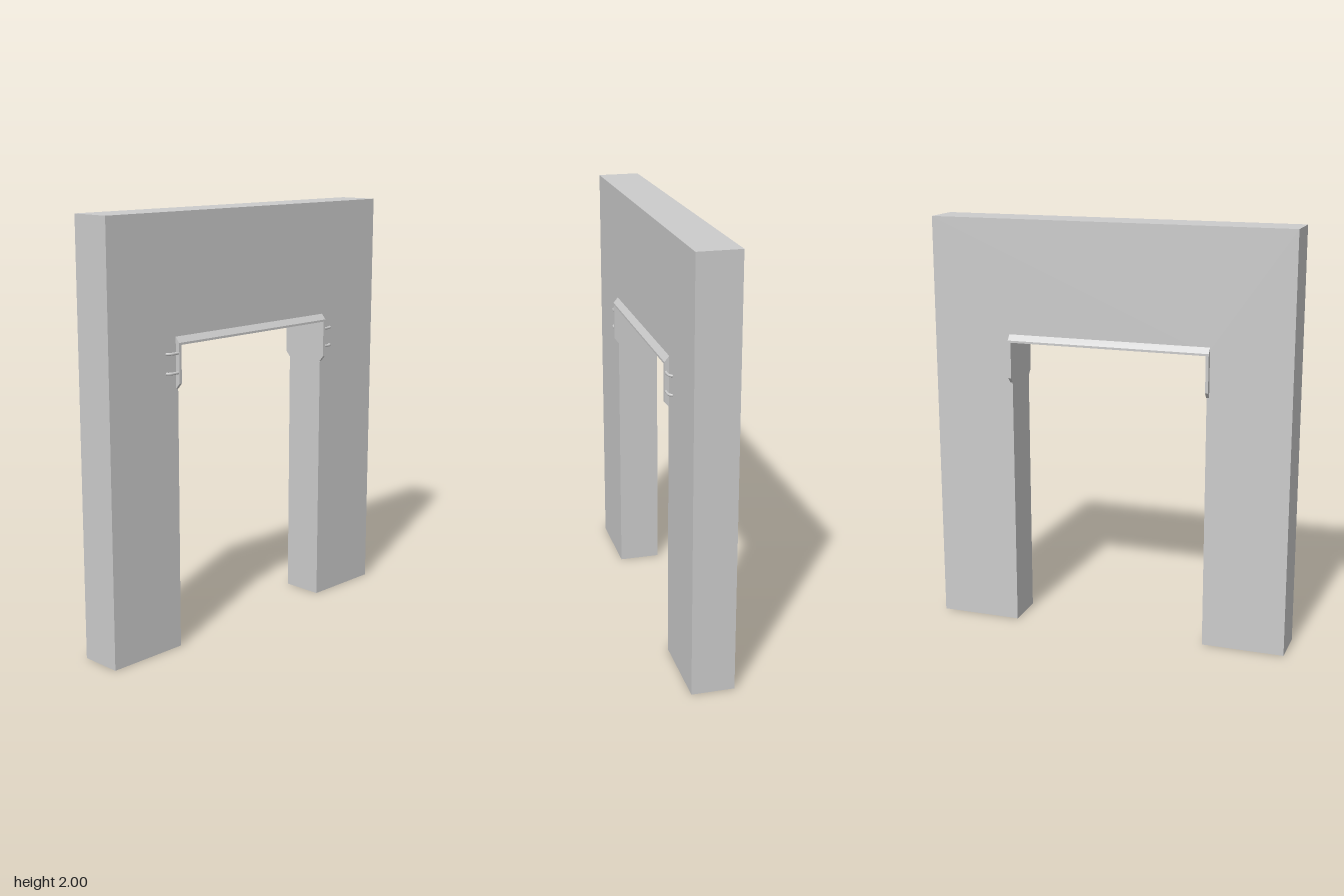
import * as THREE from 'three';

const material = new THREE.MeshStandardMaterial({ color: 0xcccccc, side: THREE.DoubleSide, flatShading: true });
const smooth = new THREE.MeshStandardMaterial({ color: 0xcccccc });

function part(name, geometry, mat = material) {
  const mesh = new THREE.Mesh(geometry, mat);
  mesh.name = name;
  return mesh;
}

function extrude(points, depth) {
  const shape = new THREE.Shape(points.map(([x, y]) => new THREE.Vector2(x, y)));
  return new THREE.ExtrudeGeometry(shape, { depth, bevelEnabled: false }).translate(0, 0, -depth / 2);
}

// Remove the faces lying on the ground, leaving the legs hollow underneath
function openBottom(geometry) {
  const p = geometry.getAttribute('position');
  const kept = [];
  for (let i = 0; i < p.count; i += 3) {
    if (Math.max(p.getY(i), p.getY(i + 1), p.getY(i + 2)) < 1e-4) continue;
    for (let j = i; j < i + 3; j++) kept.push(p.getX(j), p.getY(j), p.getZ(j));
  }
  const open = new THREE.BufferGeometry();
  open.setAttribute('position', new THREE.Float32BufferAttribute(kept, 3));
  open.computeVertexNormals();
  return open;
}

export function createModel() {
  const group = new THREE.Group();
  group.name = 'doorway';

  const W = 0.878, IN = 0.48, Z = 0.1;       // wall half width, opening half width, half depth
  const LIP = 0.122, TOP = 1.455, LOW = 1.22; // lining lip depth and height range
  const CH = 0.026;                          // lip chamfer height

  // Wall with the doorway cut out
  group.add(part('wall', openBottom(extrude([
    [-W, 0], [-IN, 0], [-IN, 1.425], [IN, 1.425], [IN, 0], [W, 0], [W, 2], [-W, 2],
  ], Z * 2))));

  // Header lining with sloped upper lips
  const header = extrude([
    [-LIP, 1.419], [LIP, 1.419], [LIP, TOP - CH], [Z, TOP], [-Z, TOP], [-LIP, TOP - CH],
  ], 0.984);
  group.add(part('headerLining', header.rotateY(Math.PI / 2)));

  for (const side of [1, -1]) {
    const name = side > 0 ? 'left' : 'right';

    // Side lining plate with chamfered lower corners
    const jamb = extrude([
      [-Z, LOW], [Z, LOW], [LIP, LOW + CH], [LIP, 1.425], [-LIP, 1.425], [-LIP, LOW + CH],
    ], 0.014).rotateY(Math.PI / 2).translate(side * 0.485, 0, 0);
    group.add(part(name + 'JambLining', jamb));

    // Pair of bent hooks on the front
    for (const y of [1.295, 1.383]) {
      const path = new THREE.CatmullRomCurve3(
        [[0.488, 0.114], [0.515, 0.115], [0.535, 0.113], [0.546, 0.106], [0.548, 0.095]]
          .map(([x, z]) => new THREE.Vector3(side * x, y, z)));
      group.add(part(name + 'Hook', new THREE.TubeGeometry(path, 14, 0.0065, 8), smooth));
    }
  }
  return group;
}
